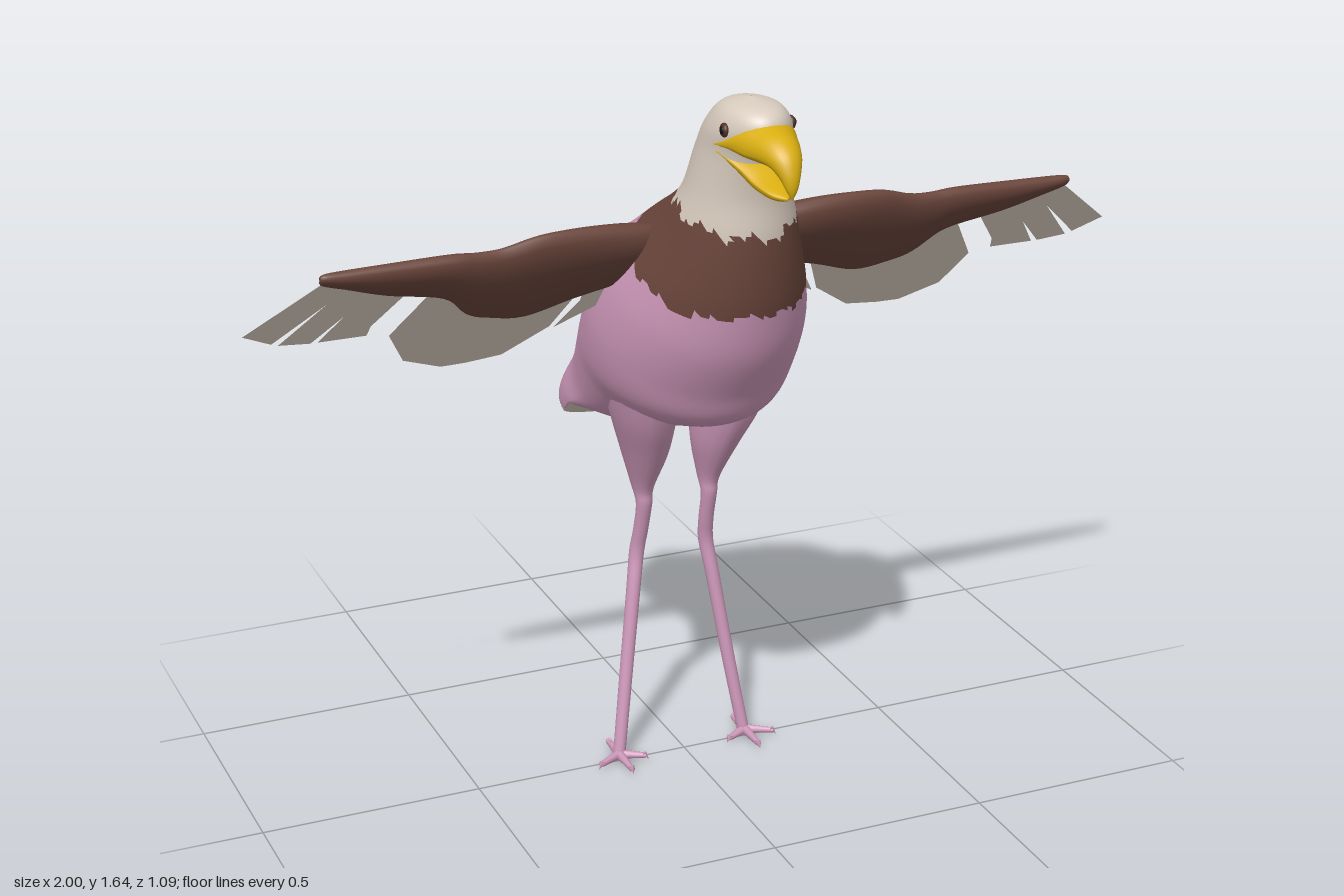
import * as THREE from 'three';

const mat = (name, color, side = THREE.FrontSide) => {
  const m = new THREE.MeshStandardMaterial({ color, side });
  m.name = name;
  return m;
};

// Smooth interpolation through rows of numbers
function sample(rows, t) {
  const n = rows.length - 1, f = Math.min(t * n, n - 1e-6), i = Math.floor(f), u = f - i;
  const p = k => rows[Math.max(0, Math.min(n, k))];
  return rows[0].map((_, j) => {
    const a = p(i - 1)[j], b = p(i)[j], c = p(i + 1)[j], d = p(i + 2)[j];
    return b + 0.5 * u * (c - a + u * (2 * a - 5 * b + 4 * c - d + u * (3 * (b - c) + d - a)));
  });
}

// Loft: each row is [ax,ay,az, bx,by,bz, halfWidth, c]. A and B are opposite edge points,
// the widest place lies at fraction c between them, and dir is the width direction.
function loft(rows, dir, seg, steps, rule = () => 0) {
  const pos = [], lists = [[], [], []];
  for (let i = 0; i <= steps; i++) {
    const [ax, ay, az, bx, by, bz, w, c] = sample(rows, i / steps);
    const A = new THREE.Vector3(ax, ay, az), B = new THREE.Vector3(bx, by, bz);
    const C = A.clone().lerp(B, c);
    for (let j = 0; j < seg; j++) {
      const th = j / seg * Math.PI * 2, k = Math.cos(th);
      const p = C.clone().lerp(k > 0 ? A : B, Math.abs(k)).addScaledVector(dir, Math.max(w, 0) * Math.sin(th));
      pos.push(p.x, p.y, p.z);
    }
  }
  const tri = (a, b, c, i, j) => {
    const m = [0, 1, 2].map(k => (pos[a * 3 + k] + pos[b * 3 + k] + pos[c * 3 + k]) / 3);
    lists[rule(m, i / steps, Math.cos((j + 0.5) / seg * Math.PI * 2))].push(a, b, c);
  };
  for (let i = 0; i < steps; i++) for (let j = 0; j < seg; j++) {
    const a = i * seg + j, b = i * seg + (j + 1) % seg;
    tri(a, b, a + seg, i, j);
    tri(b, b + seg, a + seg, i, j);
  }
  const g = new THREE.BufferGeometry();
  g.setAttribute('position', new THREE.Float32BufferAttribute(pos, 3));
  g.setIndex(lists.flat());
  let start = 0;
  lists.forEach((l, k) => { if (l.length) g.addGroup(start, l.length, k); start += l.length; });
  g.computeVertexNormals();
  return g;
}

// Mirror a geometry to the other side and restore its winding
function mirrored(geo) {
  const g = geo.clone().applyMatrix4(new THREE.Matrix4().makeScale(-1, 1, 1));
  const ix = g.index.array;
  for (let i = 0; i < ix.length; i += 3) [ix[i], ix[i + 1]] = [ix[i + 1], ix[i]];
  return g;
}

export function createModel() {
  const root = new THREE.Group();
  root.name = 'bird';
  const pink = mat('pinkPlumage', 0xd09abc);
  const cream = mat('creamPlumage', 0xd9ccbf, THREE.DoubleSide);
  const brown = mat('brownPlumage', 0x6b463c);
  const yellow = mat('beakYellow', 0xd9ae10);
  const iris = mat('irisBrown', 0x4f3024);
  const black = mat('pupilBlack', 0x121212);
  const X = new THREE.Vector3(1, 0, 0);

  const add = (name, geo, m) => {
    const mesh = new THREE.Mesh(geo, m);
    mesh.name = name;
    root.add(mesh);
  };
  const pair = (name, geo, m) => {
    add(name + 'Left', geo, m);
    add(name + 'Right', mirrored(geo), m);
  };
  const mid = ([y1, z1, y2, z2, w, c = 0.5]) => [0, y1, z1, 0, y2, z2, w, c];

  // Head, chest, body and tail: back edge (y,z), front edge (y,z), half width, widest place
  const bodyRows = [
    [1.64, 0.34, 1.64, 0.341, 0.001], [1.622, 0.265, 1.628, 0.425, 0.054], [1.575, 0.212, 1.59, 0.45, 0.081],
    [1.51, 0.177, 1.53, 0.42, 0.092], [1.43, 0.15, 1.44, 0.4, 0.11], [1.39, 0.10, 1.35, 0.4, 0.132],
    [1.35, 0.03, 1.25, 0.392, 0.16], [1.30, -0.05, 1.17, 0.377, 0.188], [1.25, -0.125, 1.07, 0.345, 0.213],
    [1.17, -0.19, 0.97, 0.285, 0.225], [1.08, -0.26, 0.89, 0.23, 0.217], [1.0, -0.32, 0.84, 0.1, 0.195, 0.52],
    [0.92, -0.375, 0.79, -0.05, 0.178, 0.6], [0.84, -0.435, 0.775, -0.21, 0.175, 0.78],
    [0.785, -0.48, 0.735, -0.3, 0.16, 0.86], [0.742, -0.52, 0.705, -0.42, 0.105, 0.86],
    [0.715, -0.545, 0.71, -0.535, 0.004, 0.7]].map(mid);
  const plumage = ([x, y, z], t, k) => {
    const a = Math.atan2(x, z - 0.25);
    const n = 0.009 * Math.sin(9 * a) + 0.007 * Math.sin(23 * a + 1);
    if (y + n > 1.355 + (0.4 - z) * 0.26) return 1;
    if (y + n * 0.6 > 1.18 + Math.max(0, 0.31 - z) * 0.48) return 2;
    if (z < -0.2 && (y + n * 0.5 < 0.752 || (t > 0.8 && k < -0.15))) return 1;
    return 0;
  };
  add('body', loft(bodyRows, X, 72, 128, plumage), [pink, cream, brown]);

  // Hooked upper beak and open lower beak
  const down = X.clone().negate();
  add('upperBeak', loft([
    [1.56, 0.345, 1.545, 0.345, 0.086, 0.7], [1.605, 0.42, 1.535, 0.385, 0.074, 0.7],
    [1.602, 0.46, 1.53, 0.425, 0.06, 0.7], [1.59, 0.5, 1.53, 0.46, 0.047, 0.65],
    [1.565, 0.531, 1.53, 0.49, 0.035, 0.6], [1.53, 0.546, 1.515, 0.513, 0.022],
    [1.5, 0.548, 1.495, 0.53, 0.012], [1.478, 0.541, 1.477, 0.54, 0.001]].map(mid), down, 24, 28), yellow);
  add('lowerBeak', loft([
    [1.545, 0.355, 1.525, 0.355, 0.084, 0.3], [1.522, 0.41, 1.482, 0.4, 0.056, 0.3],
    [1.5, 0.45, 1.465, 0.44, 0.042, 0.3], [1.485, 0.49, 1.462, 0.49, 0.027, 0.3],
    [1.475, 0.52, 1.47, 0.52, 0.001]].map(mid), down, 24, 20), yellow);

  // Eyes
  pair('iris', new THREE.SphereGeometry(0.015, 16, 12).scale(0.6, 1, 1).translate(0.073, 1.585, 0.375), iris);
  pair('pupil', new THREE.SphereGeometry(0.009, 12, 10).scale(0.6, 1, 1).translate(0.078, 1.586, 0.377), black);

  // Wing arms: x, top y, bottom y, half thickness, all lying on one slanted plane
  const wingZ = y => 0.175 - (1.34 - y) * 0.65;
  const armRows = [
    [0.11, 1.32, 1.21, 0.02], [0.17, 1.335, 1.19, 0.034], [0.28, 1.345, 1.16, 0.034], [0.385, 1.342, 1.125, 0.032],
    [0.465, 1.32, 1.135, 0.028], [0.52, 1.317, 1.155, 0.026], [0.58, 1.32, 1.21, 0.024], [0.705, 1.318, 1.24, 0.02],
    [0.8, 1.316, 1.273, 0.015], [0.85, 1.314, 1.29, 0.009], [0.857, 1.304, 1.302, 0.001],
  ].map(([x, t, b, w]) => [x, t, wingZ(t), x, b, wingZ(b), w, 0.35]);
  const wingNormal = new THREE.Vector3(0, -0.65, 1).normalize();
  pair('wingArm', loft(armRows, wingNormal, 20, 50), brown);

  // Thin feather sheets on the wing plane
  const sheet = points => {
    const g = new THREE.ShapeGeometry(new THREE.Shape(points.map(p => new THREE.Vector2(...p))));
    const p = g.attributes.position;
    for (let i = 0; i < p.count; i++) p.setZ(i, wingZ(p.getY(i)));
    g.computeVertexNormals();
    return g;
  };
  const feathers = {
    innerFeather: [[0.16, 1.2], [0.26, 1.18], [0.26, 1.145], [0.305, 1.075], [0.17, 1.15]],
    secondaryFeathers: [[0.27, 1.17], [0.315, 1.08], [0.41, 1.015], [0.49, 1.006], [0.545, 1.005],
      [0.635, 1.04], [0.68, 1.12], [0.61, 1.225], [0.4, 1.22]],
    primaryInner: [[0.65, 1.25], [0.74, 1.26], [0.835, 1.13], [0.73, 1.13], [0.725, 1.155]],
    primaryMiddle: [[0.725, 1.26], [0.79, 1.28], [0.92, 1.137], [0.85, 1.13]],
    primaryOuter: [[0.78, 1.28], [0.84, 1.3], [1.0, 1.175], [0.935, 1.143]],
  };
  for (const [name, pts] of Object.entries(feathers)) pair(name, sheet(pts), cream);

  // Thighs and legs: y, centre x, centre z, half width, half depth
  const legRows = [
    [0.97, 0.11, 0.02, 0.085, 0.15], [0.85, 0.1, 0.0, 0.066, 0.118], [0.75, 0.085, -0.03, 0.048, 0.085],
    [0.655, 0.08, -0.05, 0.024, 0.04], [0.61, 0.079, -0.042, 0.018, 0.021], [0.54, 0.08, -0.06, 0.017, 0.018],
    [0.48, 0.085, -0.073, 0.017, 0.018], [0.4, 0.097, -0.063, 0.016, 0.017], [0.2, 0.126, -0.04, 0.015, 0.016],
    [0.01, 0.155, -0.014, 0.014, 0.015],
  ].map(([y, x, z, w, d]) => [x, y, z - d, x, y, z + d, w, 0.5]);
  pair('leg', loft(legRows, X, 16, 45), pink);

  // Feet: four toes with turned-down claws
  [[0, 0.09], [1.05, 0.075], [-1.05, 0.07], [Math.PI, 0.075]].forEach(([turn, len], i) => {
    const place = g => g.rotateY(turn).translate(0.157, 0, -0.01);
    pair('toe' + (i + 1), place(new THREE.CylinderGeometry(0.006, 0.011, len - 0.008, 8)
      .rotateX(Math.PI / 2).translate(0, 0.011, (len - 0.008) / 2)), pink);
    pair('claw' + (i + 1), place(new THREE.ConeGeometry(0.006, 0.02, 6)
      .rotateX(2.5).translate(0, 0.009, len - 0.007)), pink);
  });
  return root;
}
